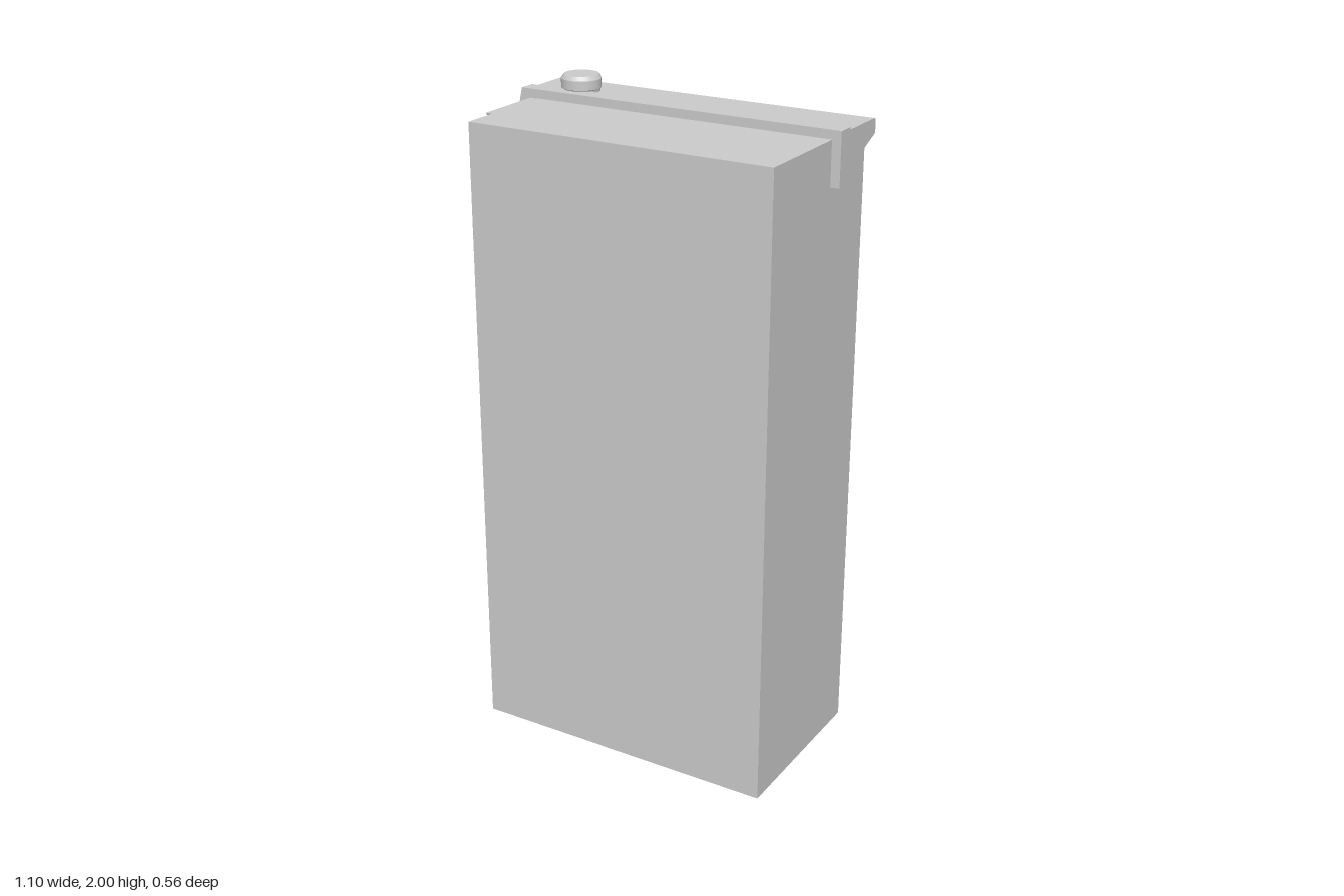
import * as THREE from 'three';

const material = new THREE.MeshStandardMaterial({ color: 0xcccccc, flatShading: true });
const smooth = new THREE.MeshStandardMaterial({ color: 0xcccccc });

// Sweeps a [z, y] profile along x from hi(y) down to lo(y); sloped ends are allowed.
function sweep(name, profile, hi, lo) {
  const shape = new THREE.Shape(profile.map(([z, y]) => new THREE.Vector2(z, y)));
  const geo = new THREE.ExtrudeGeometry(shape, { depth: 1, bevelEnabled: false });
  const p = geo.attributes.position;
  for (let i = 0; i < p.count; i++) {
    const z = p.getX(i), y = p.getY(i), t = p.getZ(i);
    p.setXYZ(i, THREE.MathUtils.lerp(hi(y), lo(y), t), y, z);
  }
  geo.computeVertexNormals();
  const mesh = new THREE.Mesh(geo, material);
  mesh.name = name;
  return mesh;
}

const at = (x) => () => x;
// Sloped outer face of the folded left-over ear at the -x end.
const slope = (top) => (y) => top - (1.957 - y) * 0.21;

export function createModel() {
  const group = new THREE.Group();
  group.name = 'carton';

  // Main box
  const body = new THREE.Mesh(new THREE.BoxGeometry(0.97, 1.93, 0.555), material);
  body.position.set(0.035, 0.965, 0.0025);
  body.name = 'body';
  group.add(body);

  // Folded top seam: raised ridge, flat flap and rounded lip over the back edge
  group.add(sweep('topFlap', [
    [-0.062, 1.93], [-0.062, 1.957], [-0.115, 1.957], [-0.117, 1.95], [-0.272, 1.95],
    [-0.278, 1.946], [-0.281, 1.935], [-0.281, 1.918], [-0.278, 1.908], [-0.272, 1.905], [-0.272, 1.93],
  ], at(0.548), slope(-0.5)));

  // Short flap end hanging over the +x side
  group.add(sweep('sideFlap', [
    [-0.06, 1.955], [-0.06, 1.797], [-0.08, 1.797], [-0.105, 1.803], [-0.14, 1.83],
    [-0.185, 1.865], [-0.23, 1.885], [-0.28, 1.906], [-0.28, 1.948], [-0.117, 1.95],
  ], at(0.548), at(0.515)));

  // Seam strip bent down over the -x side
  group.add(sweep('seamStrip', [
    [-0.062, 1.957], [-0.062, 1.757], [-0.108, 1.757], [-0.115, 1.765], [-0.115, 1.957],
  ], at(-0.45), slope(-0.505)));

  // Triangular ear halves behind and in front of the strip
  group.add(sweep('backEar', [
    [-0.11, 1.95], [-0.11, 1.775], [-0.14, 1.815], [-0.175, 1.855],
    [-0.225, 1.885], [-0.28, 1.906], [-0.28, 1.95],
  ], at(-0.45), slope(-0.498)));
  group.add(sweep('frontEar', [
    [-0.065, 1.929], [-0.065, 1.765], [-0.05, 1.77], [0, 1.82],
    [0.06, 1.873], [0.11, 1.9], [0.16, 1.924], [0.16, 1.929],
  ], at(-0.45), (y) => -0.475 - (1.93 - y) * 0.28));

  // Round cap with a chamfered rim
  const rings = [[0, 1.945], [0.056, 1.945], [0.056, 1.957], [0.061, 1.96], [0.061, 1.988], [0.053, 2], [0, 2]];
  const cap = new THREE.Group();
  cap.name = 'cap';
  for (let i = 0; i < rings.length - 1; i++) {
    const pts = [rings[i], rings[i + 1]].map(([r, y]) => new THREE.Vector2(r, y));
    cap.add(new THREE.Mesh(new THREE.LatheGeometry(pts, 32), smooth));
  }
  cap.position.set(-0.35, 0, -0.15);
  group.add(cap);

  return group;
}
